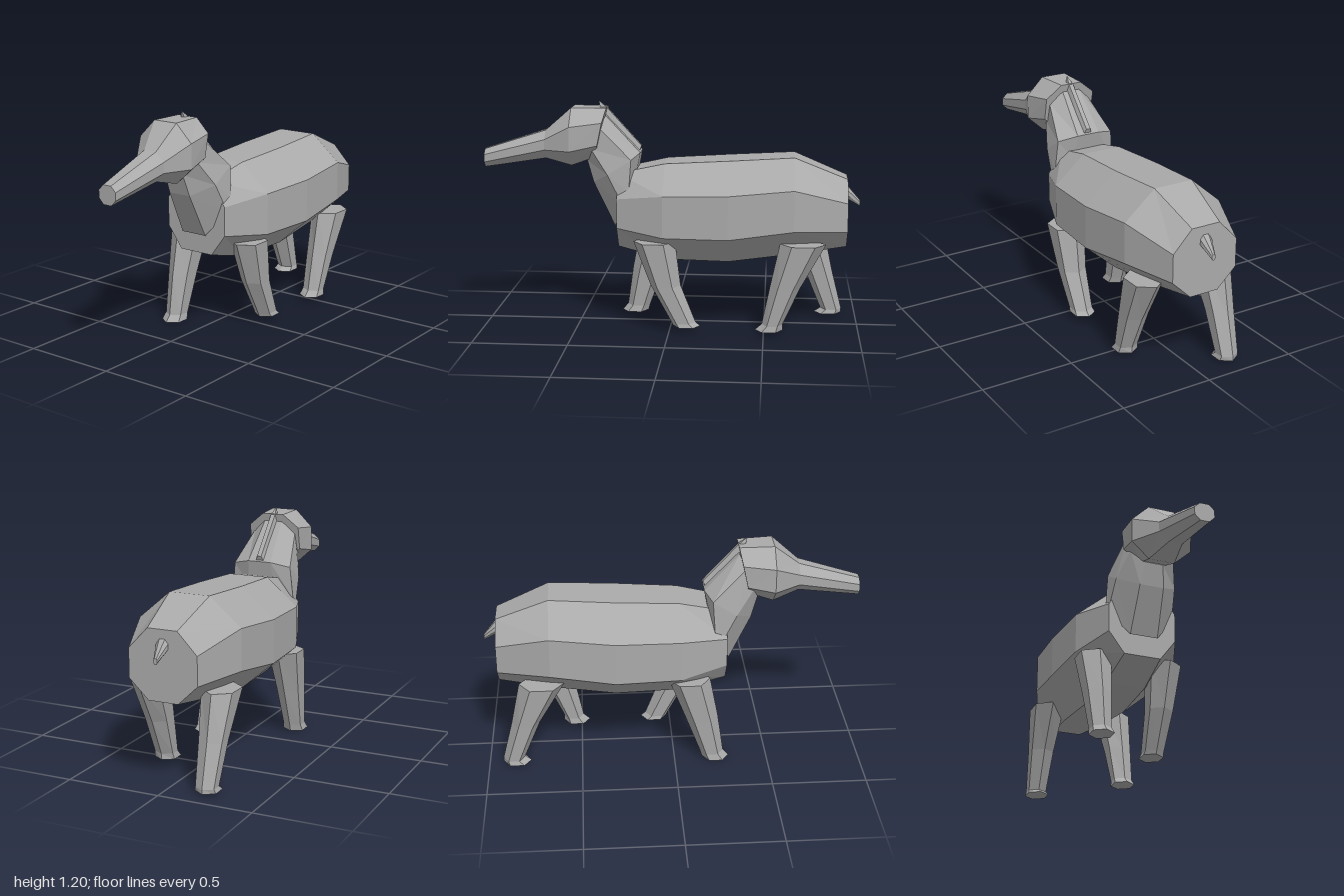
import * as THREE from 'three';

const hide = new THREE.MeshStandardMaterial({ color: 0xaaaaaa, flatShading: true });
hide.name = 'grey hide';

// Closed skin through equal-length rings of [x, y, z], capped at both ends
function loft(name, rings) {
  const n = rings[0].length, pos = [];
  const tri = (a, b, c) => pos.push(...a, ...b, ...c);
  for (let r = 0; r < rings.length - 1; r++) {
    for (let i = 0; i < n; i++) {
      const j = (i + 1) % n;
      tri(rings[r][i], rings[r][j], rings[r + 1][j]);
      tri(rings[r][i], rings[r + 1][j], rings[r + 1][i]);
    }
  }
  const first = rings[0], last = rings[rings.length - 1];
  for (let i = 1; i < n - 1; i++) {
    tri(first[0], first[i + 1], first[i]);
    tri(last[0], last[i], last[i + 1]);
  }
  // Turn the skin outward if its signed volume is negative
  let volume = 0;
  const a = new THREE.Vector3(), b = new THREE.Vector3(), c = new THREE.Vector3();
  const o = new THREE.Vector3(...first[0]);
  for (let k = 0; k < pos.length; k += 9) {
    a.fromArray(pos, k).sub(o);
    b.fromArray(pos, k + 3).sub(o);
    c.fromArray(pos, k + 6).sub(o);
    volume += a.dot(b.cross(c));
  }
  if (volume < 0) {
    for (let k = 0; k < pos.length; k += 9) {
      for (let m = 0; m < 3; m++) [pos[k + 3 + m], pos[k + 6 + m]] = [pos[k + 6 + m], pos[k + 3 + m]];
    }
  }
  const g = new THREE.BufferGeometry();
  g.setAttribute('position', new THREE.Float32BufferAttribute(pos, 3));
  g.computeVertexNormals();
  const mesh = new THREE.Mesh(g, hide);
  mesh.name = name;
  return mesh;
}

// Eight-sided section: half width, half width of the flat top and bottom,
// four heights, and z at the bottom and top so that it can lean
function octagon(w, flat, [yTop, yUp, yLow, yBot], zBot, zTop = zBot, cx = 0) {
  const at = (x, y) => [cx + x, y, zBot + (zTop - zBot) * (y - yBot) / (yTop - yBot)];
  return [
    at(flat, yTop), at(w, yUp), at(w, yLow), at(flat, yBot),
    at(-flat, yBot), at(-w, yLow), at(-w, yUp), at(-flat, yTop),
  ];
}

// Six-sided leg section with corners pointing forward and back
function hexagon(cx, y, w, zFront, zBack) {
  const zc = (zFront + zBack) / 2, d = (zFront - zBack) / 2;
  return [[0, 1], [1, 0.5], [1, -0.5], [0, -1], [-1, -0.5], [-1, 0.5]]
    .map(([x, z]) => [cx + x * w, y, zc + z * d]);
}

// Leg from hip to hoof; each level is [y, half width, front z, back z]
function leg(name, cx, levels) {
  return loft(name, levels.map(([y, w, f, b]) => hexagon(cx, y, w, f, b)));
}

export function createModel() {
  const model = new THREE.Group();
  model.name = 'animal';

  model.add(loft('body', [
    octagon(0.185, 0.1, [0.83, 0.705, 0.55, 0.435], 0.28),
    octagon(0.28, 0.11, [0.885, 0.74, 0.52, 0.37], 0.03),
    octagon(0.3, 0.12, [0.905, 0.75, 0.52, 0.365], -0.31),
    octagon(0.28, 0.11, [0.925, 0.78, 0.565, 0.41], -0.65),
    octagon(0.185, 0.08, [0.81, 0.7, 0.55, 0.45], -0.93),
  ]));

  model.add(loft('neck', [
    octagon(0.18, 0.075, [0.8, 0.74, 0.67, 0.54], 0.3, 0.19),
    octagon(0.165, 0.065, [0.935, 0.91, 0.83, 0.775], 0.415, 0.165),
    octagon(0.12, 0.05, [1.13, 1.07, 0.96, 0.89], 0.45, 0.35),
  ]));

  // Head tapers into a long snout that turns slightly to the left
  model.add(loft('head', [
    octagon(0.145, 0.06, [1.17, 1.1, 0.98, 0.91], 0.4, 0.345),
    octagon(0.163, 0.07, [1.172, 1.08, 0.95, 0.865], 0.53, 0.53, 0.008),
    octagon(0.087, 0.037, [1.05, 1.005, 0.95, 0.9], 0.67, 0.67, 0.025),
    octagon(0.053, 0.024, [0.946, 0.918, 0.878, 0.849], 1, 1, 0.038),
  ]));

  // Ridge down the back of the neck, its tip rising through the crown
  model.add(loft('mane', [
    [[-0.03, 0.92, 0.18], [0.03, 0.92, 0.18], [0.012, 0.965, 0.163], [-0.012, 0.965, 0.163]],
    [[-0.028, 1.11, 0.37], [0.028, 1.11, 0.37], [0.012, 1.165, 0.345], [-0.012, 1.165, 0.345]],
    [[-0.003, 1.197, 0.39], [0.003, 1.197, 0.39], [0.002, 1.2, 0.387], [-0.002, 1.2, 0.387]],
  ]));

  model.add(loft('tail', [
    octagon(0.033, 0.016, [0.79, 0.765, 0.735, 0.71], -0.9),
    octagon(0.03, 0.014, [0.755, 0.735, 0.71, 0.69], -0.94),
    octagon(0.01, 0.005, [0.685, 0.677, 0.665, 0.655], -1),
  ]));

  model.add(
    leg('frontLeftLeg', 0.195, [
      [0.485, 0.083, 0.19, -0.03], [0.25, 0.065, 0.1, -0.06],
      [0.05, 0.052, -0.01, -0.14], [0.03, 0.057, -0.02, -0.165],
    ]),
    leg('frontRightLeg', -0.2, [
      [0.485, 0.083, 0.19, -0.03], [0.25, 0.063, 0.235, 0.06],
      [0.035, 0.05, 0.265, 0.14], [0, 0.057, 0.295, 0.15],
    ]),
    leg('hindLeftLeg', 0.2, [
      [0.485, 0.08, -0.58, -0.82], [0.25, 0.063, -0.53, -0.69],
      [0.05, 0.052, -0.49, -0.6], [0.018, 0.057, -0.455, -0.6],
    ]),
    leg('hindRightLeg', -0.2, [
      [0.485, 0.083, -0.58, -0.82], [0.25, 0.063, -0.72, -0.87],
      [0.035, 0.05, -0.81, -0.925], [0.012, 0.057, -0.775, -0.925],
    ]),
  );

  return model;
}
